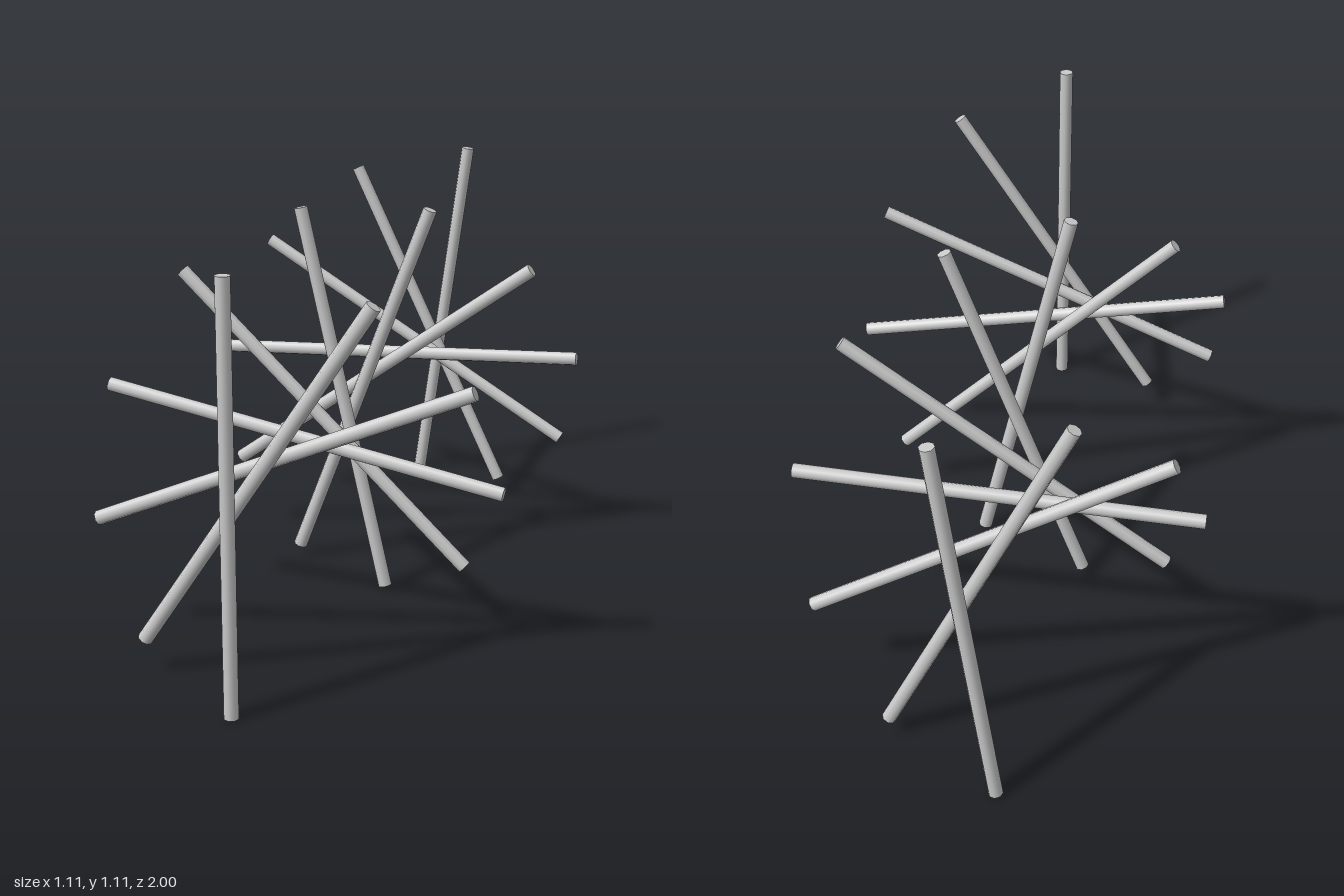
import * as THREE from 'three';

export function createModel() {
  const model = new THREE.Group();
  model.name = 'twistedRods';

  const count = 12;
  const radius = 0.02;
  const length = 1.108;
  const twist = THREE.MathUtils.degToRad(33.43); // turn from one rod to the next
  const frontZ = 1 - radius;

  const material = new THREE.MeshStandardMaterial({ color: 0xcccccc });
  const rodGeometry = new THREE.CylinderGeometry(radius, radius, length, 8);

  // Row of rods from front to back, each turned clockwise about the z axis
  for (let i = 0; i < count; i++) {
    const rod = new THREE.Mesh(rodGeometry, material);
    rod.name = `rod${i + 1}`;
    rod.position.set(0, length / 2, frontZ - (2 * frontZ * i) / (count - 1));
    rod.rotation.z = -i * twist;
    model.add(rod);
  }
  return model;
}
